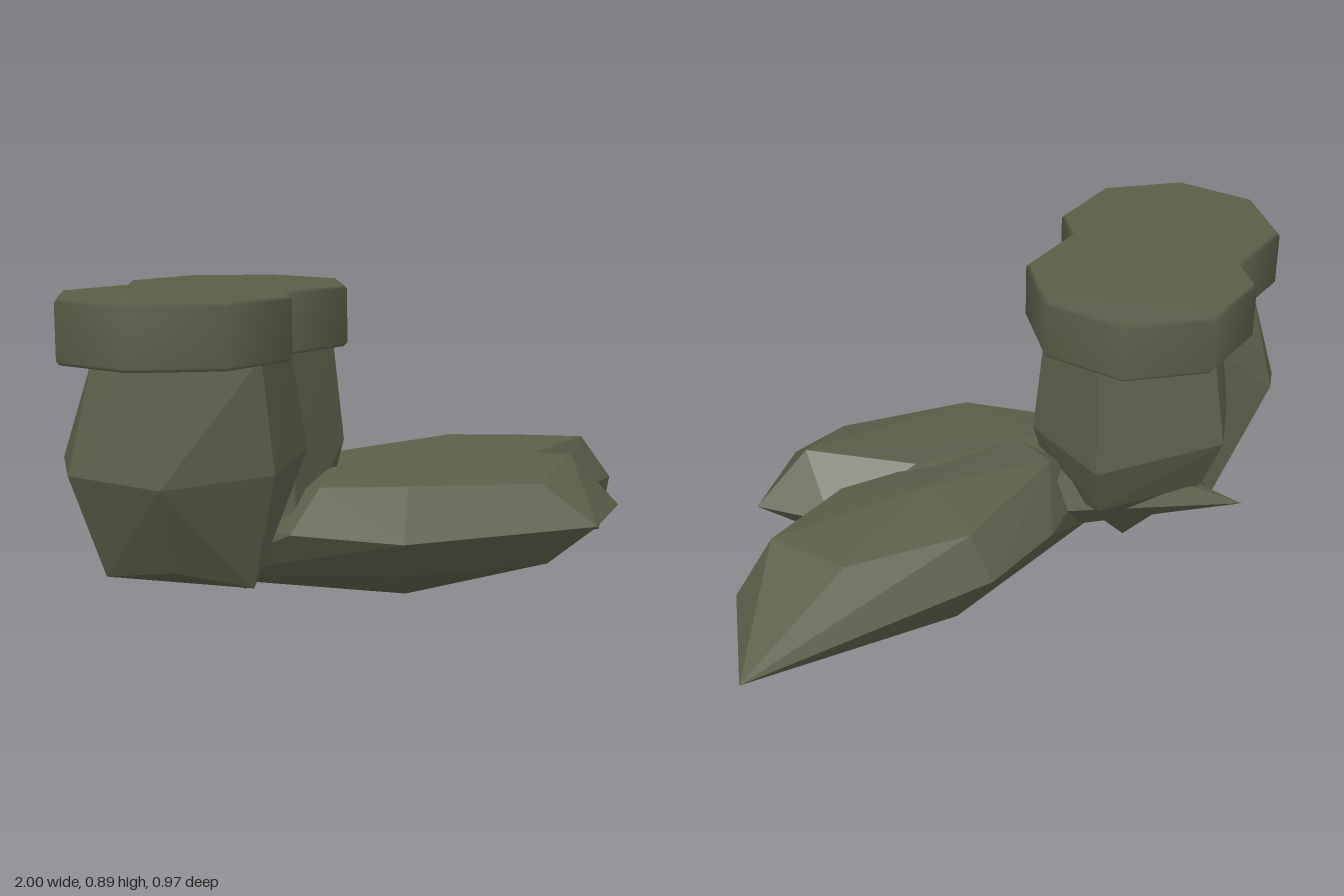
import * as THREE from 'three';
import { ConvexGeometry } from 'three/addons/geometries/ConvexGeometry.js';

const stone = new THREE.MeshStandardMaterial({ color: 0x5a5e48 });
stone.name = 'mossy stone';

// Faceted rock: the hull around a few corner points
function rock(name, corners) {
  const points = corners.map(([x, y, z]) => new THREE.Vector3(x, y, z));
  const mesh = new THREE.Mesh(new ConvexGeometry(points), stone);
  mesh.name = name;
  return mesh;
}

// Eight-sided slab with a softened rim
function cap(name, x, y, z) {
  const profile = [[0, 0], [0.312, 0], [0.322, 0.01], [0.322, 0.159], [0.312, 0.169], [0, 0.169]]
    .map(([r, h]) => new THREE.Vector2(r, h));
  const mesh = new THREE.Mesh(new THREE.LatheGeometry(profile, 8), stone);
  mesh.position.set(x, y, z);
  mesh.name = name;
  return mesh;
}

export function createModel() {
  const group = new THREE.Group();
  group.name = 'rockFormation';

  // Flat slabs on top of the pillars, the back one lying just proud of the front one
  group.add(cap('frontCap', -0.678, 0.725, 0.05), cap('backCap', -0.4, 0.726, -0.165));

  // Pillars: top ring, wide middle ring, tapered foot
  group.add(rock('frontPillar', [
    [-0.9, 0.74, 0.04], [-0.8, 0.74, 0.27], [-0.54, 0.74, 0.28], [-0.36, 0.74, 0.085], [-0.5, 0.74, -0.18], [-0.8, 0.74, -0.2],
    [-0.98, 0.44, 0.05], [-0.85, 0.44, 0.345], [-0.52, 0.44, 0.31], [-0.3, 0.45, 0.065], [-0.5, 0.44, -0.2], [-0.84, 0.44, -0.27], [-0.9, 0.44, -0.21],
    [-0.88, 0.16, 0.04], [-0.77, 0.2, 0.24], [-0.55, 0.13, 0.24], [-0.66, 0.1, -0.24],
  ]));
  group.add(rock('backPillar', [
    [-0.15, 0.74, -0.31], [-0.15, 0.74, -0.065], [-0.36, 0.74, 0.06], [-0.6, 0.74, -0.02], [-0.62, 0.74, -0.27], [-0.51, 0.72, -0.37],
    [-0.115, 0.44, -0.37], [-0.115, 0.44, -0.065], [-0.34, 0.44, 0.075], [-0.64, 0.44, 0], [-0.66, 0.44, -0.28], [-0.51, 0.44, -0.44],
    [-0.16, 0.28, -0.33], [-0.5, 0.27, -0.37], [-0.2, 0.2, -0.05], [-0.35, 0.2, 0.09], [-0.39, 0.012, -0.16], [-0.6, 0.12, -0.14],
  ]));

  // Fallen boulders: pointed middle ring, shallow crown, shallow keel
  group.add(rock('frontBoulder', [
    [0.38, 0.235, 0.485], [0.61, 0.235, 0.285], [0.47, 0.235, 0.1], [-0.19, 0.235, 0.4], [-0.4, 0.235, 0.15], [-0.57, 0.235, -0.475],
    [-0.28, 0.345, 0.1], [-0.1, 0.36, 0.27], [0.27, 0.348, 0.373], [0.46, 0.395, 0.25], [0.23, 0.39, 0.02], [-0.2, 0.37, -0.03], [-0.3, 0.33, -0.2],
    [0, 0.003, 0.09], [0.42, 0.1, 0.225], [0.3, 0.115, 0.365], [-0.15, 0.12, 0.3], [-0.55, 0.06, -0.2],
  ]));
  group.add(rock('backBoulder', [
    [1, 0.235, -0.395], [0.24, 0.235, -0.39], [-0.02, 0.235, -0.3], [-0.35, 0.235, -0.08], [0.845, 0.235, -0.06], [0.47, 0.21, 0.13], [0, 0.2, 0.13],
    [0.73, 0.375, -0.06], [0.62, 0.36, -0.26], [0.28, 0.412, -0.12], [0.45, 0.365, 0.06], [0.26, 0.35, -0.31], [-0.1, 0.385, -0.17], [-0.1, 0.375, 0],
    [0.815, 0.065, -0.07], [0.27, 0.03, -0.12], [0.3, 0.085, -0.3], [-0.3, 0.06, -0.1], [0.45, 0.1, 0.04],
  ]));

  return group;
}
